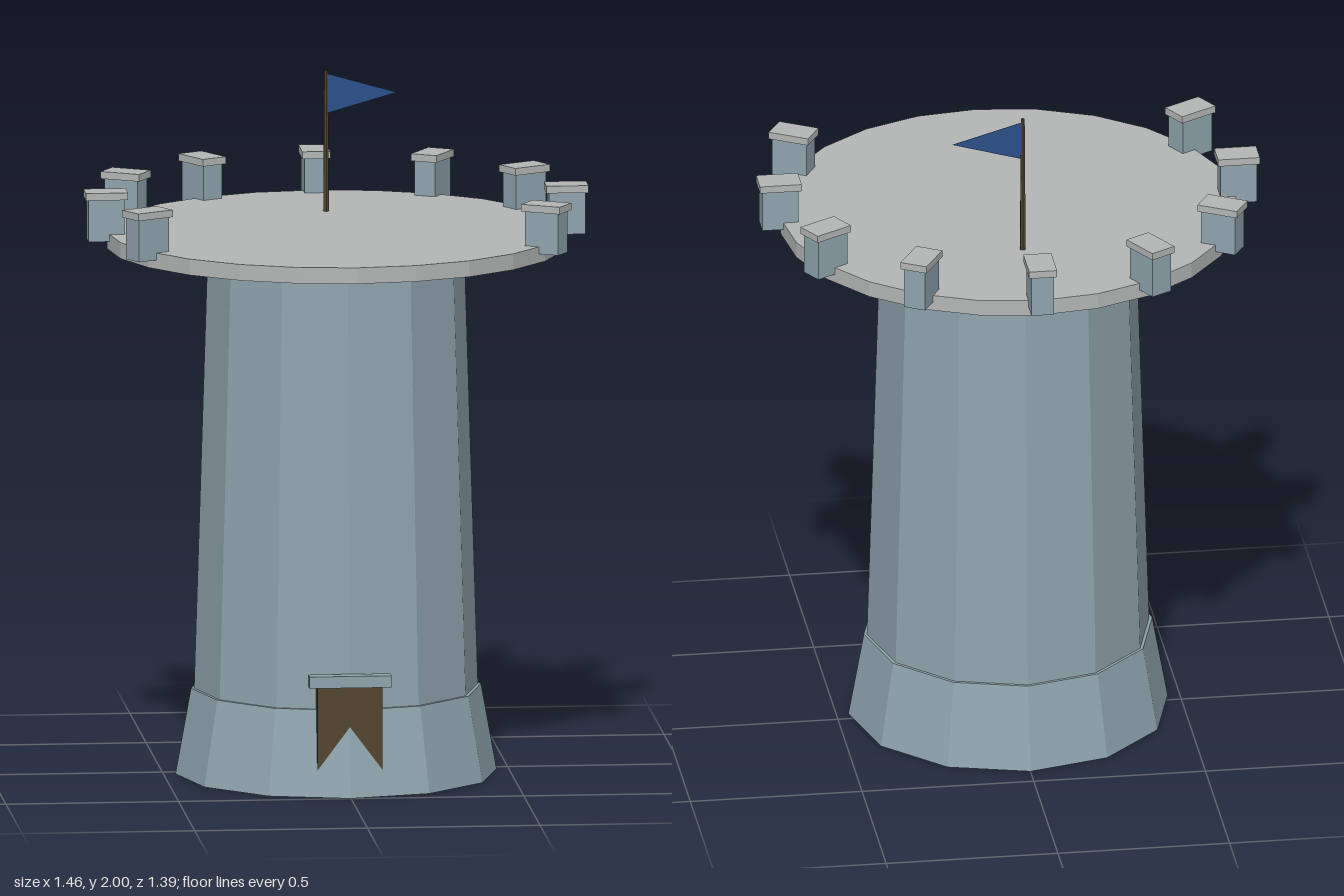
import * as THREE from 'three';

export function createModel() {
  const mat = (name, color) => {
    const m = new THREE.MeshStandardMaterial({ color, flatShading: true });
    m.name = name;
    return m;
  };
  const stone = mat('blue grey stone', 0x90a4ae);
  const slab = mat('pale grey stone', 0xb4b6b6);
  const wood = mat('dark brown', 0x52462f);
  const cloth = mat('blue cloth', 0x2c5088);
  cloth.side = THREE.DoubleSide;

  const model = new THREE.Group();
  model.name = 'watchtower';
  // everything is placed around the tower axis
  const tower = new THREE.Group();
  tower.name = 'tower';
  tower.position.z = 0.033;
  model.add(tower);

  const add = (parent, name, geometry, material, x = 0, y = 0, z = 0) => {
    const mesh = new THREE.Mesh(geometry, material);
    mesh.name = name;
    mesh.position.set(x, y, z);
    parent.add(mesh);
    return mesh;
  };
  // tapered round part given by its bottom and top heights
  const drum = (name, rTop, rBottom, y0, y1, sides, material, z = 0) =>
    add(tower, name, new THREE.CylinderGeometry(rTop, rBottom, y1 - y0, sides), material, 0, (y0 + y1) / 2, z);

  drum('footing', 0.42, 0.465, 0, 0.25, 12, stone);
  drum('shaft', 0.371, 0.411, 0.25, 1.545, 12, stone);
  drum('platform', 0.663, 0.663, 1.54, 1.587, 24, slab);

  // battlements every 30 degrees, with three left out at the front
  for (let i = -4; i <= 4; i++) {
    const merlon = new THREE.Group();
    merlon.name = 'merlon';
    merlon.rotation.y = Math.PI + (i * Math.PI) / 6;
    add(merlon, 'merlonBlock', new THREE.BoxGeometry(0.066, 0.123, 0.106), stone, 0, 1.6275, 0.667);
    add(merlon, 'merlonCap', new THREE.BoxGeometry(0.081, 0.021, 0.122), slab, 0, 1.6985, 0.667);
    tower.add(merlon);
  }

  // flagpole and pennant
  drum('flagpole', 0.006, 0.009, 1.58, 2, 6, wood, -0.306);
  const pennant = new THREE.Shape([
    new THREE.Vector2(0, 1.99),
    new THREE.Vector2(0, 1.872),
    new THREE.Vector2(0.206, 1.931),
  ]);
  add(tower, 'pennant', new THREE.ShapeGeometry(pennant), cloth, 0, 0, -0.306);

  // swallow-tailed banner hanging from a stone bar at the front
  const banner = new THREE.Shape([
    [-0.094, 0.333], [-0.094, 0.077], [0, 0.203], [0.094, 0.077], [0.094, 0.333],
  ].map(([x, y]) => new THREE.Vector2(x, y)));
  add(tower, 'banner', new THREE.ExtrudeGeometry(banner, { depth: 0.043, bevelEnabled: false }), wood, 0, 0, 0.387);
  add(tower, 'bannerBar', new THREE.BoxGeometry(0.238, 0.034, 0.04), stone, 0, 0.337, 0.426);

  return model;
}
